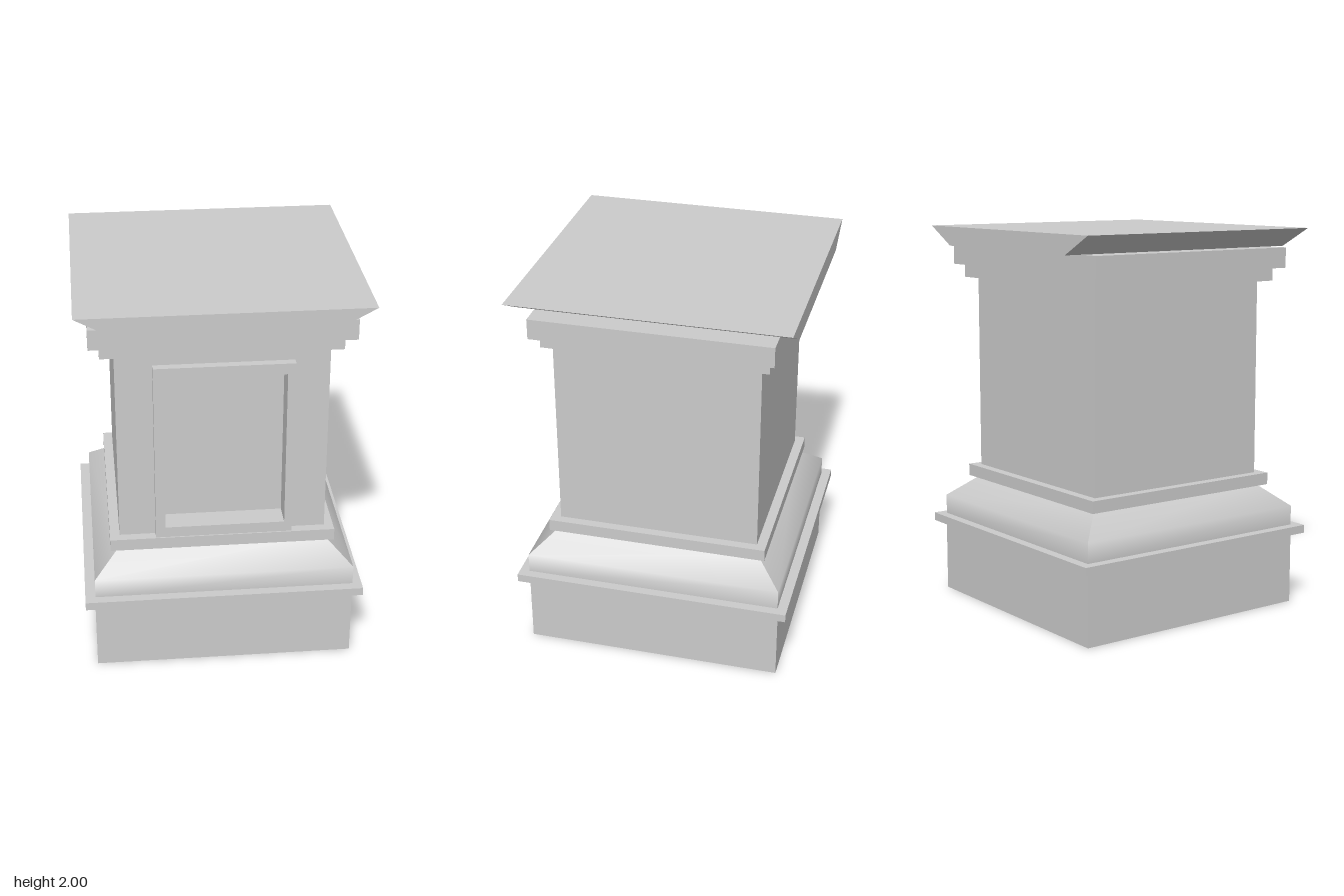
import * as THREE from 'three';

const material = new THREE.MeshStandardMaterial({ color: 0xcccccc });

function add(group, name, geometry) {
  const mesh = new THREE.Mesh(geometry, material);
  mesh.name = name;
  group.add(mesh);
}

// Box given by its limits on each axis
function slab(x0, x1, y0, y1, z0, z1) {
  return new THREE.BoxGeometry(x1 - x0, y1 - y0, z1 - z0)
    .translate((x0 + x1) / 2, (y0 + y1) / 2, (z0 + z1) / 2);
}

function rectangle(PathType, x0, x1, y0, y1) {
  return new PathType([[x0, y0], [x1, y0], [x1, y1], [x0, y1]].map(p => new THREE.Vector2(...p)));
}

function extrude(shape, z0, z1) {
  return new THREE.ExtrudeGeometry(shape, { depth: z1 - z0, bevelEnabled: false }).translate(0, 0, z0);
}

// Rectangular plate with the panel opening cut through it
function openPlate(x0, x1, y0, y1, z0, z1) {
  const shape = rectangle(THREE.Shape, x0, x1, y0, y1);
  shape.holes.push(rectangle(THREE.Path, -0.295, 0.315, 0.76, 1.605));
  return extrude(shape, z0, z1);
}

// One mitred side of a square moulding, smooth along its profile of [half width, y]
function mouldingSide(profile) {
  const positions = [], index = [];
  profile.forEach(([r, y], i) => {
    positions.push(-r, y, r, r, y, r);
    if (i > 0) {
      const a = 2 * i - 2;
      index.push(a, a + 1, a + 3, a, a + 3, a + 2);
    }
  });
  const geometry = new THREE.BufferGeometry();
  geometry.setAttribute('position', new THREE.Float32BufferAttribute(positions, 3));
  geometry.setIndex(index);
  geometry.computeVertexNormals();
  return geometry;
}

export function createModel() {
  const model = new THREE.Group();
  model.name = 'pedestal';

  // Base
  add(model, 'plinth', slab(-0.67, 0.667, 0, 0.38, -0.67, 0.667));
  add(model, 'plinthLedge', slab(-0.72, 0.715, 0.38, 0.423, -0.718, 0.718));

  // Sloped moulding, the same on all four sides
  const moulding = new THREE.Group();
  moulding.name = 'baseMoulding';
  for (let i = 0; i < 4; i++) {
    const side = mouldingSide([[0.668, 0.423], [0.668, 0.525], [0.53, 0.642]]);
    add(moulding, 'mouldingSide', side.rotateY(i * Math.PI / 2));
  }
  model.add(moulding);
  add(model, 'shaftLedge', slab(-0.58, 0.577, 0.64, 0.703, -0.574, 0.575));

  // Shaft, its front layer open for the recessed panel
  add(model, 'shaft', slab(-0.53, 0.53, 0.7, 1.73, -0.525, 0.44));
  add(model, 'shaftFront', openPlate(-0.53, 0.53, 0.7, 1.73, 0.44, 0.525));
  add(model, 'panelFrame', openPlate(-0.345, 0.355, 0.7, 1.662, 0.525, 0.568));

  // Cornice
  add(model, 'lowerCornice', slab(-0.6, 0.59, 1.727, 1.795, -0.573, 0.568));
  add(model, 'upperCornice', slab(-0.653, 0.647, 1.795, 1.9, -0.605, 0.61));

  // Cap flaring outward to the left and right
  const cap = new THREE.Shape(
    [[-0.53, 1.9], [0.53, 1.9], [0.717, 2], [-0.718, 2]].map(p => new THREE.Vector2(...p)));
  add(model, 'cap', extrude(cap, -0.698, 0.703));

  return model;
}
